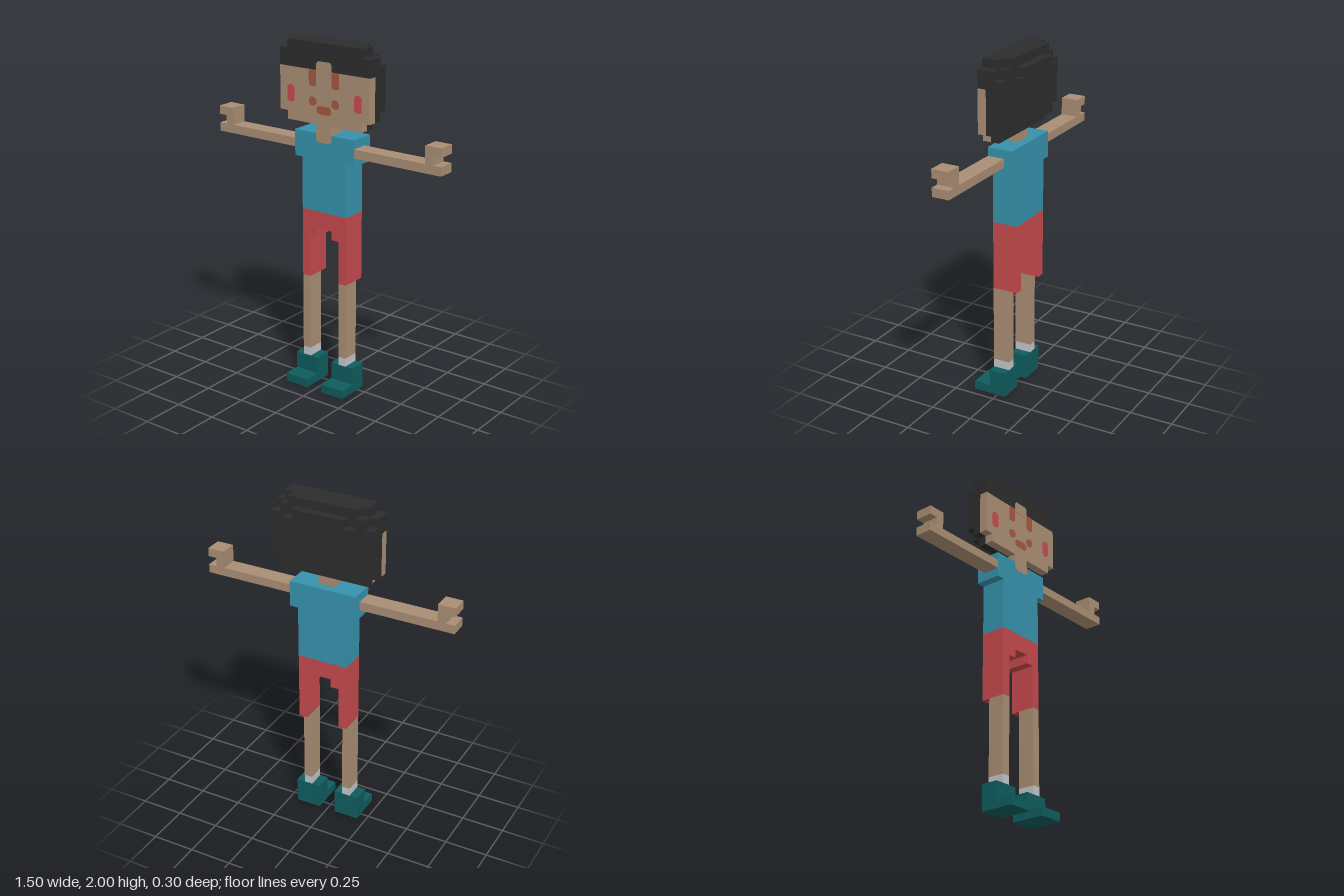
import * as THREE from 'three';

const material = (name, color) => {
  const m = new THREE.MeshStandardMaterial({ color });
  m.name = name;
  return m;
};

export function createModel() {
  const model = new THREE.Group();
  model.name = 'blockBoy';

  const skin = material('skin', 0xa88d73);
  const hair = material('hair', 0x2c2c2c);
  const shirt = material('shirtBlue', 0x3691ab);
  const shorts = material('shortsRed', 0xc4494c);
  const sock = material('sockGrey', 0xbfc5c9);
  const shoe = material('shoeTeal', 0x0e5b5d);
  const blush = material('blush', 0xca4a50);
  const feature = material('faceBrown', 0xa4573f);

  const add = (name, geometry, mat, parent = model) => {
    const mesh = new THREE.Mesh(geometry, mat);
    mesh.name = name;
    parent.add(mesh);
    return mesh;
  };

  // Box given by its minimum and maximum on each axis
  const box = (name, mat, [x0, x1], [y0, y1], [z0, z1], parent) =>
    add(name, new THREE.BoxGeometry(x1 - x0, y1 - y0, z1 - z0), mat, parent)
      .position.set((x0 + x1) / 2, (y0 + y1) / 2, (z0 + z1) / 2);

  const extrude = (name, mat, points, z0, z1, parent) => {
    const shape = new THREE.Shape(points.map(([x, y]) => new THREE.Vector2(x, y)));
    const geometry = new THREE.ExtrudeGeometry(shape, { depth: z1 - z0, bevelEnabled: false });
    geometry.translate(0, 0, z0);
    return add(name, geometry, mat, parent);
  };

  // Symmetric stepped slab; rows are [half width, bottom, top] from bottom to top
  const slab = (name, mat, rows, z0, z1, parent) => {
    const right = rows.flatMap(([w, a, b]) => [[w, a], [w, b]]);
    const left = right.map(([x, y]) => [-x, y]).reverse();
    return extrude(name, mat, [...right, ...left], z0, z1, parent);
  };

  // Thin painted patch with clipped corners on the front plane
  const patch = (name, mat, cx, cy, w, h, parent, c = 0.013) => {
    const a = w / 2, b = h / 2;
    const pts = [[a, c - b], [a, b - c], [a - c, b], [c - a, b], [-a, b - c], [-a, c - b], [c - a, -b], [a - c, -b]];
    return extrude(name, mat, pts.map(([x, y]) => [x + cx, y + cy]), 0.049, 0.052, parent);
  };

  // Head: face slab with layered hair behind and above
  const head = new THREE.Group();
  head.name = 'head';
  model.add(head);
  slab('face', skin, [[0.25, 1.55, 1.6], [0.3, 1.6, 1.85]], 0, 0.05, head);
  slab('fringe', hair, [[0.3, 1.85, 1.95], [0.25, 1.95, 2]], 0, 0.05, head);
  slab('hairMiddle', hair, [[0.25, 1.55, 1.6], [0.3, 1.6, 1.95], [0.25, 1.95, 2]], -0.05, 0, head);
  slab('hairBack', hair,
    [[0.25, 1.6, 1.65], [0.3, 1.65, 1.9], [0.25, 1.9, 1.95], [0.2, 1.95, 2]], -0.1, -0.05, head);
  slab('hairBump', hair, [[0.15, 1.7, 1.75], [0.2, 1.75, 1.9], [0.15, 1.9, 1.95]], -0.15, -0.1, head);
  box('neck', skin, [-0.05, 0.05], [1.5, 1.55], [-0.05, 0.05], head);

  // Painted skin on the forehead and throat
  patch('foreheadPatch', skin, 0, 1.865, 0.104, 0.07, head);
  patch('throatPatch', skin, 0, 1.485, 0.104, 0.07, head);

  // Painted face
  patch('mouth', feature, 0, 1.632, 0.096, 0.046, head);
  for (const s of [-1, 1]) {
    patch('eye', feature, s * 0.077, 1.805, 0.048, 0.09, head, 0.008);
    patch('smileCorner', feature, s * 0.076, 1.676, 0.048, 0.048, head);
    patch('cheek', blush, s * 0.225, 1.7, 0.048, 0.096, head);
  }

  // Torso and shorts
  slab('shirt', shirt, [[0.15, 1.05, 1.35], [0.2, 1.35, 1.5]], -0.1, 0.05);
  extrude('shorts', shorts, [
    [0.15, 0.65], [0.15, 1.05], [-0.15, 1.05], [-0.15, 0.65], [-0.1, 0.65], [-0.1, 0.9],
    [-0.05, 0.9], [-0.05, 0.95], [0.05, 0.95], [0.05, 0.9], [0.1, 0.9], [0.1, 0.65],
  ], -0.1, 0.05);

  for (const s of [1, -1]) {
    const side = s > 0 ? 'left' : 'right';
    const span = (a, b) => (s > 0 ? [a, b] : [-b, -a]);

    // Arm ending in a hooked hand
    extrude(side + 'Arm', skin, [
      [0.2, 1.4], [0.75, 1.4], [0.75, 1.45], [0.7, 1.45], [0.7, 1.5],
      [0.75, 1.5], [0.75, 1.55], [0.65, 1.55], [0.65, 1.45], [0.2, 1.45],
    ].map(([x, y]) => [s * x, y]), -0.05, 0.05);

    // Leg, sock and shoe
    box(side + 'Leg', skin, span(0.1, 0.15), [0.2, 0.65], [-0.05, 0.05]);
    box(side + 'Sock', sock, span(0.1, 0.15), [0.15, 0.2], [-0.05, 0.05]);
    box(side + 'Shoe', shoe, span(0.05, 0.2), [0, 0.15], [-0.05, 0.05]);
    box(side + 'Toe', shoe, span(0.05, 0.2), [0, 0.05], [0.05, 0.15]);
  }

  return model;
}
